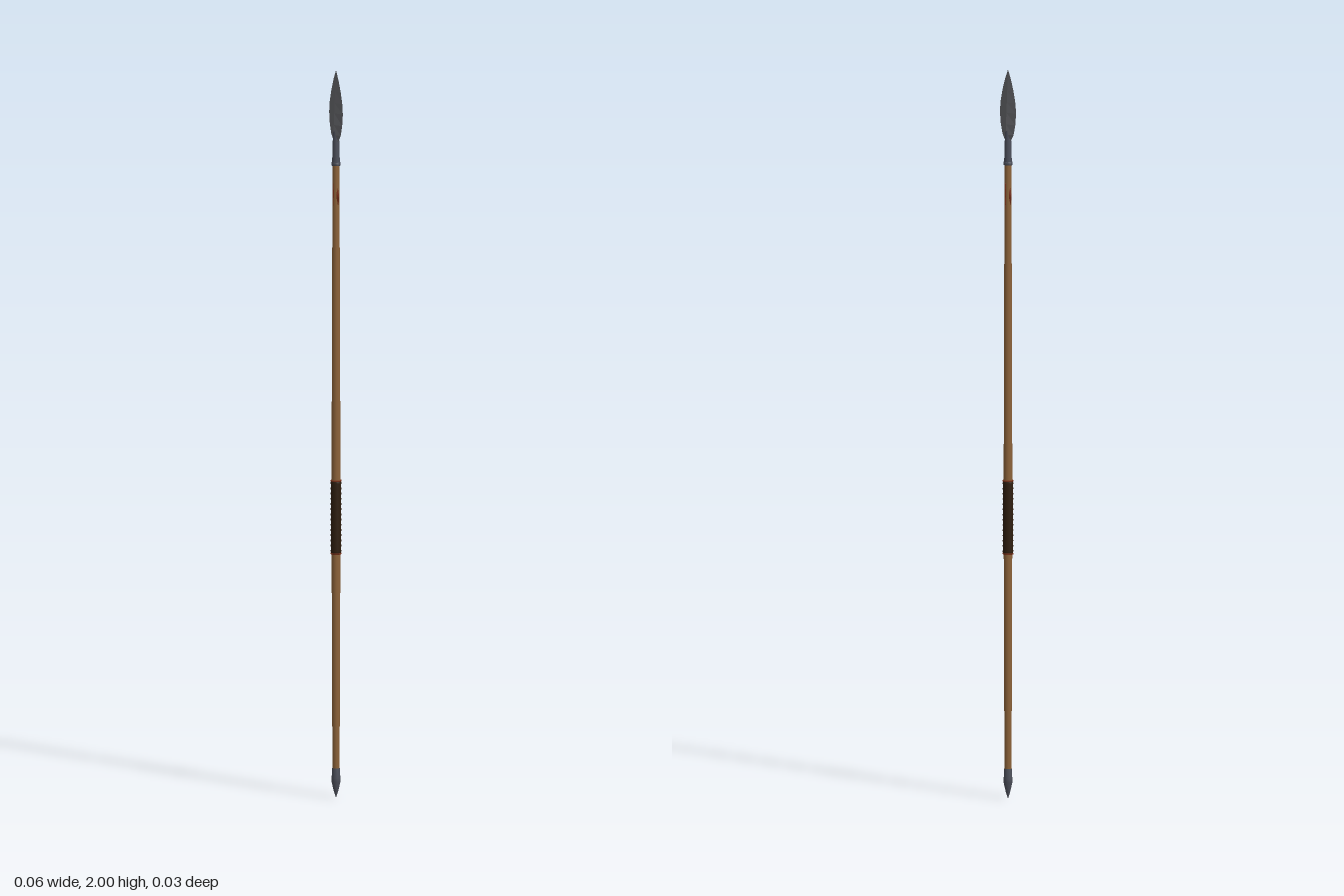
import * as THREE from 'three';

const mat = (name, color) => {
  const m = new THREE.MeshStandardMaterial({ color });
  m.name = name;
  return m;
};

// Faceted turned part from [radius, height] pairs, listed bottom to top
function turned(profile, sides) {
  const points = profile.map(([r, y]) => new THREE.Vector2(r, y));
  return new THREE.LatheGeometry(points, sides);
}

// Diamond-section part: x keeps the profile width, z gets its own half thickness
function diamond(profile, thickness) {
  const g = turned(profile, 4);
  const p = g.attributes.position;
  for (let i = 0; i < p.count; i++) {
    const z = p.getZ(i);
    const t = Math.abs(z) > 1e-5 ? Math.sign(z) * thickness(p.getY(i)) : 0;
    p.setZ(i, t);
  }
  const flat = g.toNonIndexed();
  flat.computeVertexNormals();
  return flat;
}

export function createModel() {
  const spear = new THREE.Group();
  spear.name = 'spear';
  const wood = mat('wood', 0x8c6239);
  const iron = mat('iron', 0x66676b);
  const darkIron = mat('darkIron', 0x4c4f5a);
  const leather = mat('leather', 0x2e1d0e);
  const cord = mat('cord', 0x7a3018);

  const add = (name, geometry, material) => {
    const mesh = new THREE.Mesh(geometry, material);
    mesh.name = name;
    spear.add(mesh);
    return mesh;
  };

  // Shaft, slightly swollen in the middle
  add('shaft', turned([[0, 0.06], [0.0095, 0.06], [0.011, 0.35], [0.0122, 0.8],
    [0.011, 1.35], [0.009, 1.76], [0, 1.76]], 12), wood);

  // Leather grip: stacked windings with a bound cord at each end
  const winds = 14, low = 0.672, high = 0.872, pitch = (high - low) / winds;
  const wrap = [[0.0122, low]];
  for (let i = 0; i < winds; i++) {
    wrap.push([0.0136, low + i * pitch], [0.0146, low + (i + 0.5) * pitch]);
  }
  wrap.push([0.0136, high], [0.0122, high]);
  add('grip', turned(wrap, 10), leather);
  for (const y of [low, high]) {
    const ring = add('gripBinding', new THREE.TorusGeometry(0.0136, 0.0022, 6, 10), cord);
    ring.rotation.x = Math.PI / 2;
    ring.position.y = y;
  }

  // Flat binding knot below the head
  add('bindingKnot', diamond([[0.004, 1.615], [0.010, 1.63], [0.0148, 1.652],
    [0.010, 1.675], [0.004, 1.69]], () => 0.0105), cord);

  // Socket with a rim, running up into the blade
  add('socketRim', turned([[0.008, 1.738], [0.0118, 1.738], [0.0118, 1.747], [0.008, 1.747]], 10), darkIron);
  add('socket', turned([[0.0105, 1.745], [0.0095, 1.79], [0.008, 1.825], [0.0045, 1.87], [0, 1.9]], 10), darkIron);

  // Leaf blade with a central ridge
  add('blade', diamond([[0, 1.803], [0.012, 1.806], [0.022, 1.822], [0.029, 1.85],
    [0.032, 1.882], [0.0295, 1.91], [0.022, 1.942], [0.012, 1.973], [0, 2]],
  (y) => 0.0075 * Math.min(1, Math.max(0.02, (2 - y) / 0.15))), iron);

  // Pointed butt spike
  add('buttSpike', turned([[0, 0], [0.006, 0.018], [0.0122, 0.045], [0.0118, 0.055],
    [0.0105, 0.082], [0.009, 0.082]], 10), darkIron);

  return spear;
}
